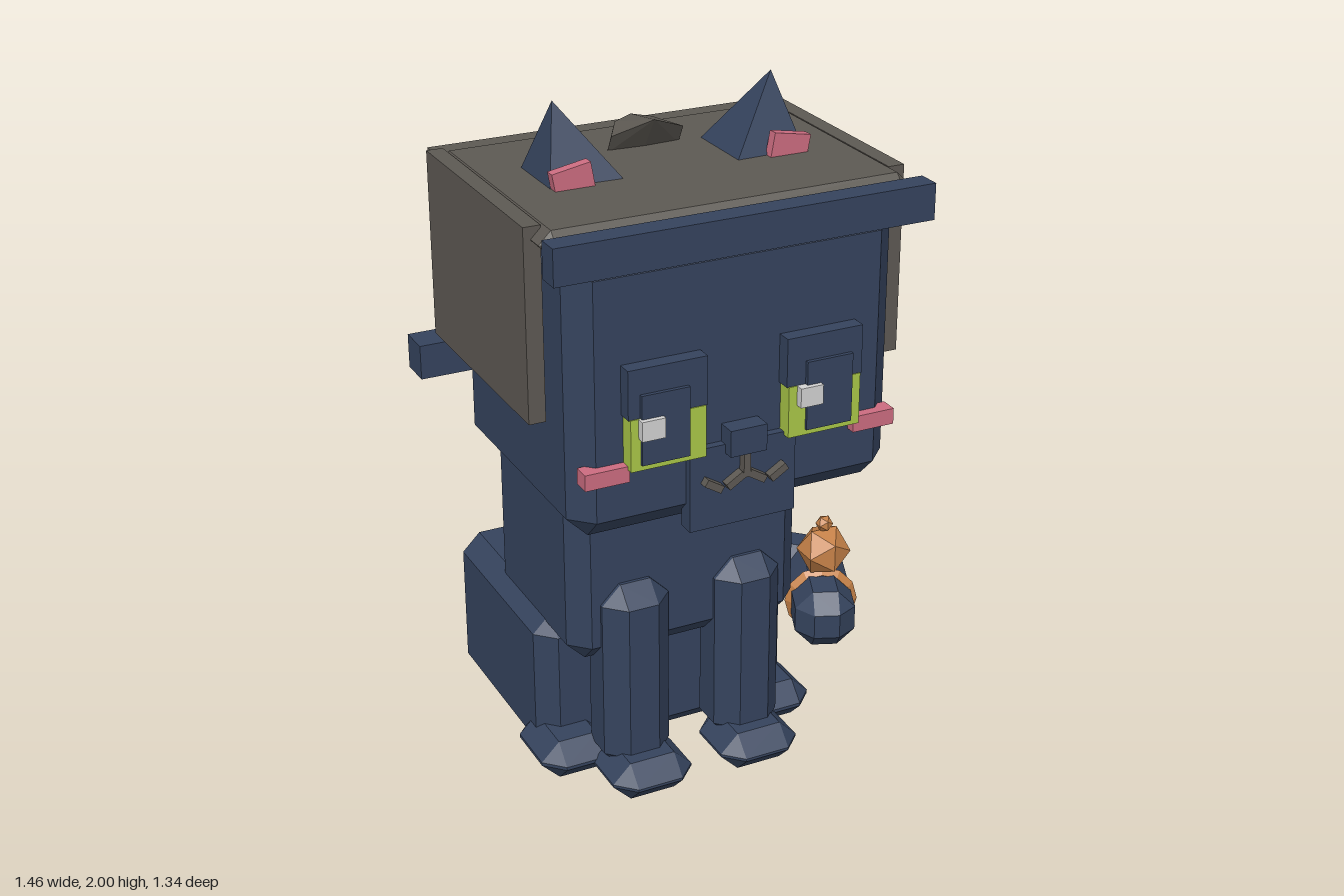
import * as THREE from 'three';
import { ConvexGeometry } from 'three/addons/geometries/ConvexGeometry.js';

const MID = -0.14; // mirror plane of the body; the tail offsets it from x = 0

function material(name, color) {
  const m = new THREE.MeshStandardMaterial({ color, flatShading: true });
  m.name = name;
  return m;
}

// Box with every edge cut flat
function chamferBox(w, h, d, c) {
  const pts = [];
  for (const sx of [-1, 1]) for (const sy of [-1, 1]) for (const sz of [-1, 1]) {
    const x = w / 2, y = h / 2, z = d / 2;
    pts.push(
      new THREE.Vector3(sx * x, sy * (y - c), sz * (z - c)),
      new THREE.Vector3(sx * (x - c), sy * y, sz * (z - c)),
      new THREE.Vector3(sx * (x - c), sy * (y - c), sz * z));
  }
  return new ConvexGeometry(pts);
}

export function createModel() {
  const cat = new THREE.Group();
  cat.name = 'cat';
  const fur = material('navy fur', 0x35435d);
  const hood = material('warm grey', 0x5d5953);
  const pink = material('pink', 0xcb6c80);
  const green = material('eye green', 0xa9c647);
  const white = material('eye highlight', 0xd2d2d2);
  const orange = material('bell orange', 0xc58148);

  function add(name, geo, mat, x = 0, y = 0, z = 0) {
    const mesh = new THREE.Mesh(geo, mat);
    mesh.name = name;
    mesh.position.set(x, y, z);
    cat.add(mesh);
    return mesh;
  }
  // Block given by its limits on each axis; c is the edge cut
  function block(name, mat, [x0, x1], [y0, y1], [z0, z1], c = 0) {
    const w = x1 - x0, h = y1 - y0, d = z1 - z0;
    const geo = c ? chamferBox(w, h, d, c) : new THREE.BoxGeometry(w, h, d);
    return add(name, geo, mat, (x0 + x1) / 2, (y0 + y1) / 2, (z0 + z1) / 2);
  }
  const hull = (pts) => new ConvexGeometry(pts.map((p) => new THREE.Vector3(...p)));

  // Body and head
  block('haunches', fur, [-0.54, 0.26], [0.005, 0.475], [-0.488, 0.17], 0.055);
  block('torso', fur, [-0.5, 0.217], [0.4, 1.135], [-0.243, 0.318], 0.055);
  block('head', fur, [-0.61, 0.33], [0.95, 1.735], [-0.155, 0.602], 0.06);
  block('muzzle', fur, [-0.295, 0.015], [0.935, 1.17], [0.575, 0.625]);
  block('nose', fur, [-0.193, -0.087], [1.145, 1.22], [0.6, 0.657]);

  // Hood slabs and the bars around it
  block('hoodTop', hood, [-0.662, 0.385], [1.73, 1.8], [-0.185, 0.57], 0.034);
  block('hoodBack', hood, [-0.66, 0.385], [1.27, 1.79], [-0.232, -0.165]);
  block('hoodBrim', fur, [-0.675, 0.395], [1.7, 1.8], [0.588, 0.655]);
  block('rearBar', fur, [-0.735, 0.457], [1.145, 1.245], [-0.263, -0.165]);

  // Faceted lump leaning forward on the hood
  const lump = [[0, 0.09, 0.105], [0, -0.02, 0.03], [0, 0.065, -0.045], [0, -0.01, -0.05]];
  for (const s of [-1, 1]) {
    lump.push([s * 0.107, 0.045, 0.06], [s * 0.107, -0.01, 0.03],
      [s * 0.055, 0.055, -0.03], [s * 0.055, -0.01, -0.03]);
  }
  add('hoodLump', hull(lump), hood, MID, 1.8, 0);

  // Parts in mirrored pairs: s = 1 is the cat's left
  for (const s of [-1, 1]) {
    const side = s > 0 ? 'left' : 'right';
    const span = (a, b) => (s > 0 ? [MID + a, MID + b] : [MID - b, MID - a]);

    block(side + 'HoodSide', hood, span(0.495, 0.542), [1.27, 1.8], [-0.18, 0.488]);
    block(side + 'FrontLeg', fur, span(0.073, 0.278), [0.05, 0.645], [0.18, 0.385], 0.057);
    block(side + 'FrontPaw', fur, span(0.048, 0.295), [0, 0.118], [0.23, 0.478], 0.055);
    block(side + 'BackPaw', fur, span(0.21, 0.436), [0.005, 0.125], [0.02, 0.295], 0.055);

    // Ear leaning outward, with a pink inner plate
    const ex = (v) => MID + s * v;
    add(side + 'Ear', hull([
      [ex(0.16), 1.79, 0.04], [ex(0.16), 1.79, 0.27],
      [ex(0.372), 1.79, 0.06], [ex(0.372), 1.79, 0.262], [ex(0.318), 2.0, 0.16],
    ]), fur);
    const inner = add(side + 'InnerEar', new THREE.BoxGeometry(0.11, 0.07, 0.03), pink,
      ex(0.315), 1.822, 0.269);
    inner.rotation.z = -s * 0.18;

    // Eye, lid, pupil, cheek
    block(side + 'Eye', green, span(0.12, 0.333), [1.16, 1.305], [0.59, 0.648]);
    block(side + 'Eyelid', fur, span(0.115, 0.338), [1.304, 1.44], [0.59, 0.645]);
    block(side + 'Pupil', fur, span(0.17, 0.305), [1.176, 1.37], [0.6, 0.656]);
    block(side + 'Cheek', pink, span(0.328, 0.453), [1.125, 1.17], [0.58, 0.63]);
    const hx = s > 0 ? 0.037 : -0.418; // both highlights sit on the same side of the pupil
    block(side + 'EyeHighlight', white, [hx - 0.033, hx + 0.033], [1.25, 1.305], [0.64, 0.67]);

    // Mouth strokes
    for (const [x, y, tilt] of [[0.032, 1.07, -0.55], [0.095, 1.067, 0.55]]) {
      const stroke = add(side + 'Mouth', new THREE.BoxGeometry(0.055, 0.021, 0.035), hood,
        ex(x), y, 0.632);
      stroke.rotation.z = s * tilt;
    }
  }
  block('mouthStem', hood, [MID - 0.01, MID + 0.01], [1.075, 1.15], [0.615, 0.65]);

  // Curled tail from straight links: start and end on the ground plan
  const links = [[0.06, -0.465, 0.43, -0.598], [0.375, -0.62, 0.672, -0.325], [0.66, -0.38, 0.497, 0.012]];
  for (const [x0, z0, x1, z1] of links) {
    const link = add('tailLink', chamferBox(0.19, 0.19, Math.hypot(x1 - x0, z1 - z0), 0.055), fur,
      (x0 + x1) / 2, 0.115, (z0 + z1) / 2);
    link.rotation.y = Math.atan2(x1 - x0, z1 - z0);
  }

  // Ring and bell on the tail tip
  const ring = add('tailRing', new THREE.TorusGeometry(0.097, 0.02, 4, 12), orange, 0.565, 0.118, -0.148);
  ring.rotation.y = Math.atan2(-0.163, 0.392);
  add('bell', new THREE.IcosahedronGeometry(0.086, 0), orange, 0.568, 0.3, -0.145);
  add('bellKnob', new THREE.IcosahedronGeometry(0.028, 0), orange, 0.568, 0.393, -0.145);

  return cat;
}
